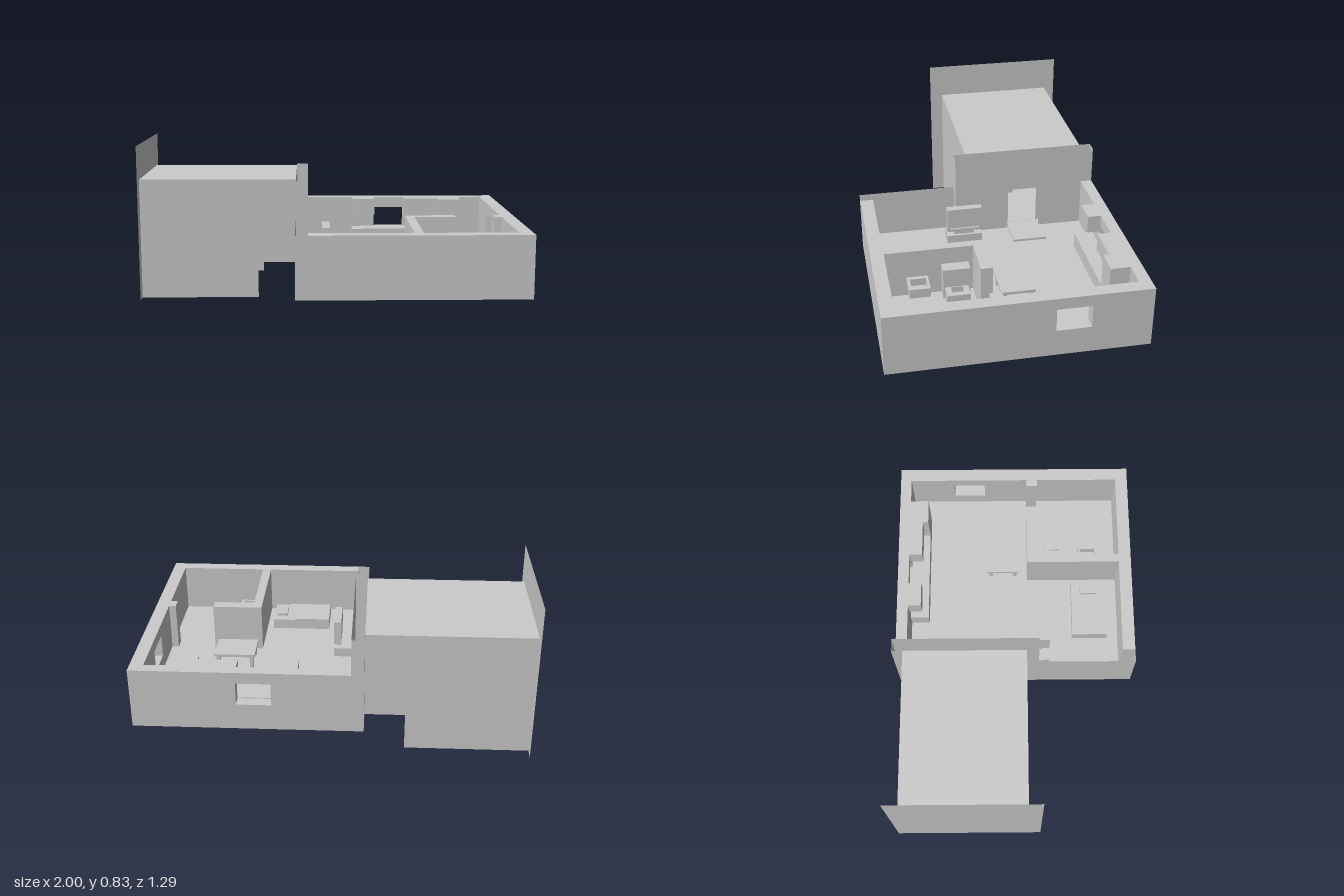
import * as THREE from 'three';

const material = new THREE.MeshStandardMaterial({ color: 0xcccccc, flatShading: true, side: THREE.DoubleSide });
const BASE = 0.13, FLOOR = 0.195, TOP = 0.45, ROOF = 0.645;

function add(parent, name, geometry) {
  const mesh = new THREE.Mesh(geometry, material);
  mesh.name = name;
  parent.add(mesh);
  return mesh;
}

function group(parent, name) {
  const g = new THREE.Group();
  g.name = name;
  parent.add(g);
  return g;
}

// Box given by its limits on each axis
function box(parent, name, x0, x1, y0, y1, z0, z1) {
  const g = new THREE.BoxGeometry(x1 - x0, y1 - y0, z1 - z0);
  g.translate((x0 + x1) / 2, (y0 + y1) / 2, (z0 + z1) / 2);
  return add(parent, name, g);
}

const rect = (a0, a1, b0, b1) => [[a0, b0], [a1, b0], [a1, b1], [a0, b1]];

function outline(points, holes) {
  const shape = new THREE.Shape(points.map(p => new THREE.Vector2(...p)));
  for (const h of holes) shape.holes.push(new THREE.Path(h.map(p => new THREE.Vector2(...p))));
  return shape;
}

// Upright or level panel: axis is its normal, depth 0 makes a thin sheet.
// Points are (z, y) for axis x, (x, y) for axis z, (x, z) for axis y.
// Depth runs toward -x, +z and -y respectively.
function panel(parent, name, axis, at, points, { holes = [], depth = 0 } = {}) {
  const shape = outline(points, holes);
  const g = depth
    ? new THREE.ExtrudeGeometry(shape, { depth, bevelEnabled: false })
    : new THREE.ShapeGeometry(shape);
  if (axis === 'x') g.rotateY(-Math.PI / 2).translate(at, 0, 0);
  if (axis === 'y') g.rotateX(Math.PI / 2).translate(0, at, 0);
  if (axis === 'z') g.translate(0, 0, at);
  return add(parent, name, g);
}

function buildHouse(root) {
  const house = group(root, 'house');
  panel(house, 'floor', 'y', FLOOR, rect(-0.165, 0.998, -0.643, 0.643));

  // Thick outer walls, with windows
  const sideWindow = rect(-0.345, -0.17, 0.27, 0.39);
  const backWindow = rect(0.295, 0.47, 0.27, 0.39);
  panel(house, 'rightWall', 'x', 1, rect(-0.645, 0.645, FLOOR, TOP), { holes: [sideWindow], depth: 0.07 });
  panel(house, 'backWall', 'z', -0.645, rect(-0.1, 0.93, FLOOR, TOP), { holes: [backWindow], depth: 0.06 });
  box(house, 'frontWall', -0.1, 0.93, FLOOR, TOP, 0.578, 0.645);
  panel(house, 'frontCorner', 'z', 0.645, rect(-0.165, -0.1, FLOOR, TOP));

  // Thin skirt below the floor
  for (const z of [-0.645, 0.645]) panel(house, 'skirt', 'z', z, rect(-0.165, 1, BASE, FLOOR));
  panel(house, 'skirt', 'x', 1, rect(-0.645, 0.645, BASE, FLOOR));

  // Left side: low sheet, then a tall hollow wall with a doorway
  const door = rect(-0.345, -0.17, FLOOR + 0.001, 0.435);
  panel(house, 'leftWall', 'x', -0.165, rect(0.125, 0.645, BASE, TOP));
  panel(house, 'tallWallOuter', 'x', -0.165, rect(-0.645, 0.125, BASE, ROOF), { holes: [door] });
  panel(house, 'tallWallInner', 'x', -0.1, rect(-0.645, 0.125, FLOOR, ROOF), { holes: [door] });
  for (const z of [-0.645, 0.125]) panel(house, 'tallWallEnd', 'z', z, rect(-0.165, -0.1, FLOOR, ROOF));

  // Inner partitions
  box(house, 'partition', 0.418, 0.465, FLOOR, TOP, 0.13, 0.578);
  box(house, 'partition', 0.418, 0.685, FLOOR, TOP, 0.07, 0.13);
  box(house, 'partitionStub', 0.893, 0.93, FLOOR, TOP, 0.07, 0.13);
}

function buildFurniture(root) {
  const kitchen = group(root, 'kitchen');
  box(kitchen, 'counter', 0.16, 0.67, FLOOR, 0.275, -0.585, -0.485);
  box(kitchen, 'wallCabinet', 0.165, 0.295, 0.355, TOP, -0.585, -0.515);
  box(kitchen, 'wallCabinet', 0.47, 0.67, 0.355, TOP, -0.585, -0.515);
  box(kitchen, 'refrigerator', 0.67, 0.8, FLOOR, TOP, -0.585, -0.485);

  box(root, 'doorMat', -0.085, 0.06, FLOOR, 0.208, -0.355, -0.17);

  const television = group(root, 'television');
  box(television, 'stand', -0.085, 0.015, FLOOR, 0.245, 0, 0.19);
  box(television, 'foot', -0.02, 0.0, 0.245, 0.28, 0.04, 0.15);
  box(television, 'screenBack', -0.025, 0.005, 0.27, 0.405, 0, 0.19);
  panel(television, 'screenFrame', 'x', 0.015, rect(0, 0.19, 0.27, 0.405),
    { holes: [rect(0.015, 0.175, 0.285, 0.39)], depth: 0.01 });

  const table = group(root, 'table');
  box(table, 'tableTop', 0.435, 0.655, 0.262, 0.277, -0.155, 0.02);
  for (const x of [0.445, 0.625])
    for (const z of [-0.145, -0.01]) box(table, 'tableLeg', x, x + 0.02, FLOOR, 0.262, z, z + 0.02);

  const bed = group(root, 'bed');
  box(bed, 'mattress', 0.06, 0.38, FLOOR, 0.25, 0.32, 0.515);
  panel(bed, 'blanket', 'y', 0.257, [[0.06, 0.32], [0.255, 0.32], [0.305, 0.515], [0.06, 0.515]], { depth: 0.007 });
  box(bed, 'pillow', 0.305, 0.365, 0.25, 0.265, 0.37, 0.465);

  const toilet = group(root, 'toilet');
  box(toilet, 'tank', 0.465, 0.53, FLOOR, 0.36, 0.155, 0.293);
  panel(toilet, 'bowl', 'y', 0.26, rect(0.53, 0.61, 0.167, 0.285),
    { holes: [rect(0.535, 0.58, 0.195, 0.255)], depth: 0.065 });

  const sink = group(root, 'sink');
  panel(sink, 'basin', 'y', 0.3, rect(0.465, 0.582, 0.363, 0.47),
    { holes: [rect(0.487, 0.565, 0.375, 0.457)], depth: 0.04 });
  box(sink, 'basinBottom', 0.465, 0.582, 0.25, 0.26, 0.363, 0.47);
}

function buildStairwell(root) {
  const hall = group(root, 'stairwell');
  const side = [[-1, 0], [-0.37, 0], [-0.37, FLOOR], [-0.165, FLOOR], [-0.165, ROOF], [-1, ROOF]];
  for (const z of [-0.585, 0.06]) panel(hall, 'sideWall', 'z', z, side);
  panel(hall, 'roof', 'y', ROOF, rect(-1, -0.165, -0.585, 0.06));
  panel(hall, 'endWall', 'x', -1, rect(-0.645, 0.13, 0, 0.83));
  panel(hall, 'passageFloor', 'y', FLOOR, rect(-0.5, -0.165, -0.585, 0.06));
  panel(hall, 'landing', 'y', 0, rect(-1, -0.85, -0.585, 0.06));
  box(hall, 'divider', -0.85, -0.5, 0, ROOF, -0.285, -0.225);

  // Flights of thin treads and risers, one down and one up from the passage
  for (const [name, z0, z1, rise] of [['downFlight', -0.585, -0.285, -0.065], ['upFlight', -0.225, 0.06, 0.065]]) {
    const flight = group(hall, name);
    for (let i = 0; i < 3; i++) {
      const x = -0.5 - 0.175 * i, y = FLOOR + rise * i;
      panel(flight, 'riser', 'x', x, rect(z0, z1, Math.min(y, y + rise), Math.max(y, y + rise)));
      panel(flight, 'tread', 'y', y + rise, rect(Math.max(x - 0.175, -1), x, z0, z1));
    }
  }
}

export function createModel() {
  const root = new THREE.Group();
  root.name = 'apartment';
  buildHouse(root);
  buildFurniture(root);
  buildStairwell(root);
  return root;
}
